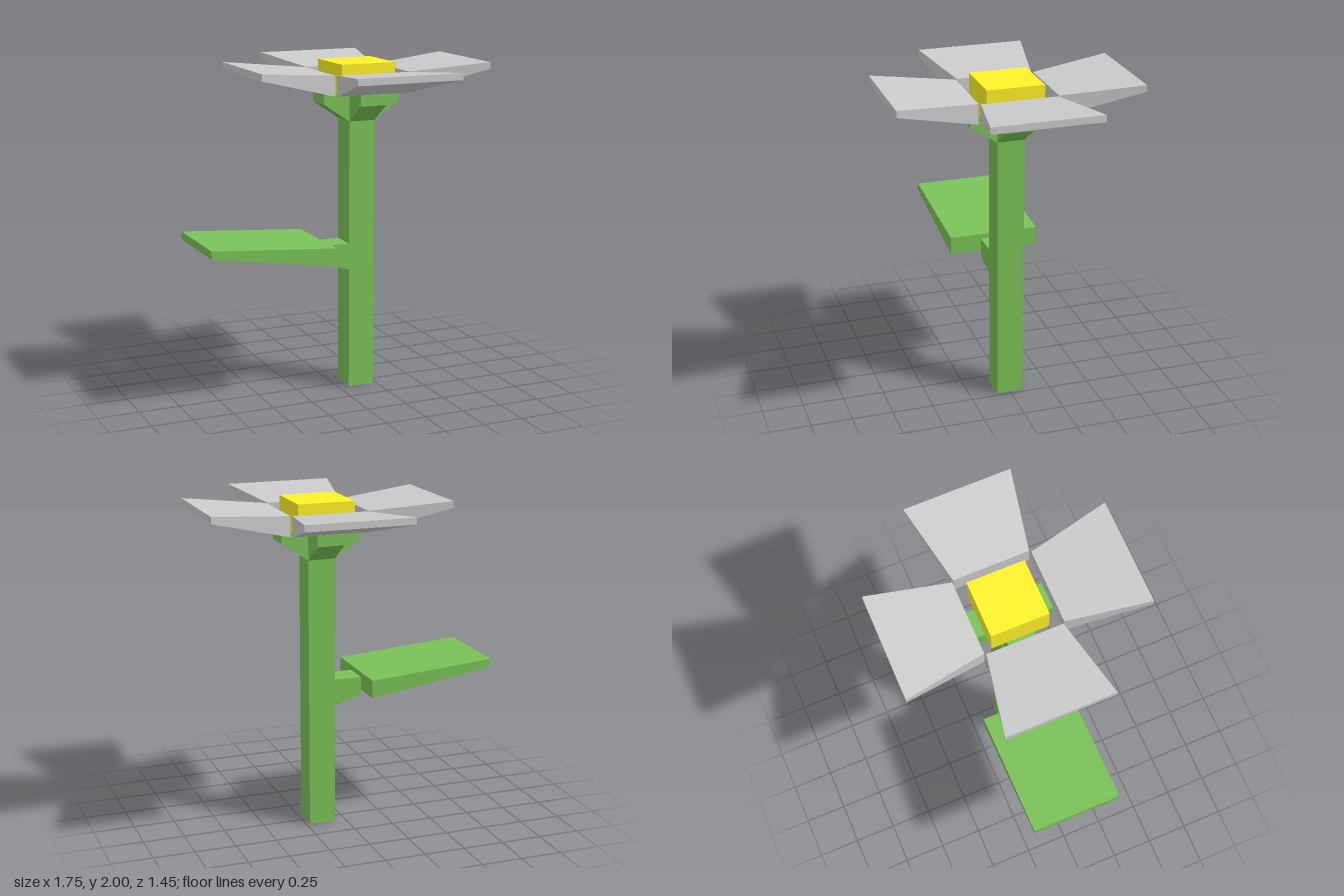
import * as THREE from 'three';

const material = (color) => new THREE.MeshStandardMaterial({ color, flatShading: true });

// Solid with an x-y side profile; its width in z runs from w0 at x0 to w1 at x1.
function wedge(name, profile, w0, w1, mat) {
  const shape = new THREE.Shape(profile.map(([x, y]) => new THREE.Vector2(x, y)));
  const geo = new THREE.ExtrudeGeometry(shape, { depth: 1, bevelEnabled: false });
  geo.translate(0, 0, -0.5);
  const xs = profile.map((p) => p[0]);
  const x0 = Math.min(...xs), x1 = Math.max(...xs);
  const pos = geo.attributes.position;
  for (let i = 0; i < pos.count; i++) {
    const t = (pos.getX(i) - x0) / (x1 - x0);
    pos.setZ(i, pos.getZ(i) * THREE.MathUtils.lerp(w0, w1, t));
  }
  geo.computeVertexNormals();
  const mesh = new THREE.Mesh(geo, mat);
  mesh.name = name;
  return mesh;
}

function block(name, width, y0, y1, mat) {
  const mesh = new THREE.Mesh(new THREE.BoxGeometry(width, y1 - y0, width), mat);
  mesh.position.y = (y0 + y1) / 2;
  mesh.name = name;
  return mesh;
}

export function createModel() {
  const green = material(0x7ac257);
  const yellow = material(0xfff226);
  const grey = material(0xcccccc);
  const stemW = 0.164, r = stemW / 2;

  const model = new THREE.Group();
  model.name = 'flower';
  const plant = new THREE.Group();
  plant.name = 'plant';
  plant.position.x = 0.147; // the leaf pushes the stem off centre
  model.add(plant);

  plant.add(block('stem', stemW, 0, 1.825, green));
  plant.add(block('flowerCentre', 0.345, 1.825, 2, yellow));

  // Four sepals and four petals around the stem
  for (let i = 0; i < 4; i++) {
    const sepal = wedge('sepal', [[r, 1.65], [0.245, 1.76], [0.245, 1.825], [r, 1.825]], stemW, stemW, green);
    const petal = wedge('petal', [[0.237, 1.825], [0.727, 1.95], [0.727, 1.99], [0.237, 1.947]], 0.455, 0.65, grey);
    for (const part of [sepal, petal]) {
      part.rotation.y = (i * Math.PI) / 2;
      plant.add(part);
    }
  }

  // Leaf on a short stalk
  plant.add(wedge('leafStalk', [[-0.25, 0.795], [-r, 0.745], [-r, 0.907], [-0.25, 0.907]], stemW, stemW, green));
  plant.add(wedge('leaf', [[-1.022, 0.947], [-0.25, 0.828], [-0.25, 0.937], [-1.022, 0.995]], 0.546, 0.546, green));

  return model;
}
